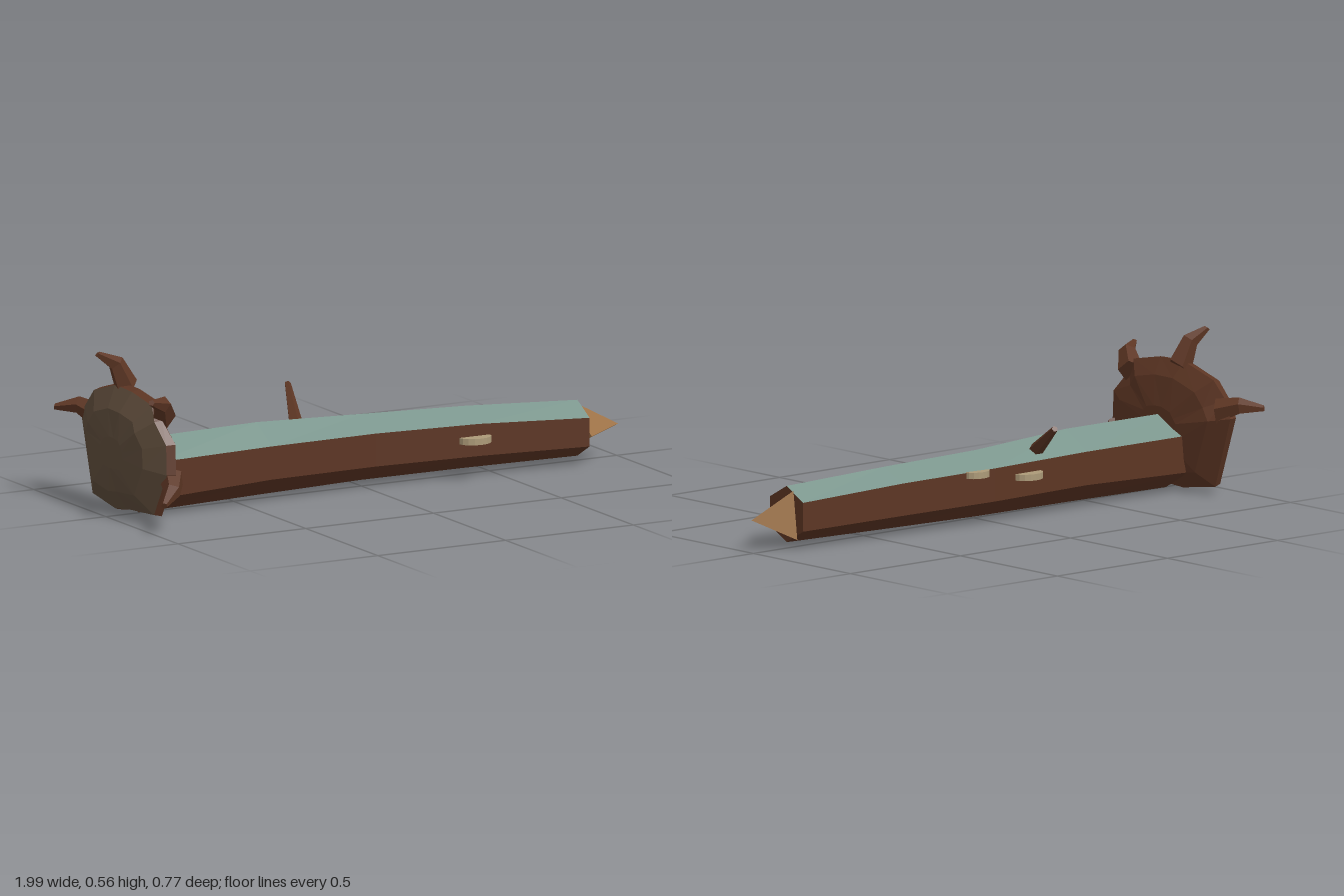
import * as THREE from 'three';

const V = (x, y, z) => new THREE.Vector3(x, y, z);
const mat = (name, color, flatShading = true) => {
  const m = new THREE.MeshStandardMaterial({ color, flatShading });
  m.name = name;
  return m;
};

// Skin over rings of points; sideMat(i) picks the material index of each strip.
function loft(rings, { start = true, end = true, sideMat = () => 0 } = {}) {
  const buckets = [[], []];
  const tri = (k, ...pts) => pts.forEach((p) => buckets[k].push(p.x, p.y, p.z));
  const n = rings[0].length;
  for (let r = 0; r < rings.length - 1; r++) {
    for (let i = 0; i < n; i++) {
      const j = (i + 1) % n, a = rings[r], b = rings[r + 1], k = sideMat(i);
      tri(k, a[i], a[j], b[i]);
      tri(k, a[j], b[j], b[i]);
    }
  }
  const centre = (ring) => ring.reduce((s, p) => s.add(p), V(0, 0, 0)).divideScalar(n);
  const first = rings[0], last = rings[rings.length - 1];
  const cf = centre(first), cl = centre(last);
  for (let i = 0; i < n; i++) {
    const j = (i + 1) % n;
    if (start) tri(0, cf, first[j], first[i]);
    if (end) tri(0, cl, last[i], last[j]);
  }
  const geo = new THREE.BufferGeometry();
  geo.setAttribute('position', new THREE.Float32BufferAttribute(buckets.flat(), 3));
  geo.addGroup(0, buckets[0].length / 3, 0);
  if (buckets[1].length) geo.addGroup(buckets[0].length / 3, buckets[1].length / 3, 1);
  geo.computeVertexNormals();
  return geo;
}

// Tapering bent spike through a few points
function spike(points, radii, sides) {
  const axis = points[points.length - 1].clone().sub(points[0]).normalize();
  const u = V(1, 0, 0).cross(axis).normalize();
  const v = axis.clone().cross(u);
  return loft(points.map((p, k) => Array.from({ length: sides }, (_, i) => {
    const t = (i / sides) * Math.PI * 2;
    return p.clone().addScaledVector(u, Math.cos(t) * radii[k]).addScaledVector(v, Math.sin(t) * radii[k]);
  })));
}

export function createModel() {
  const group = new THREE.Group();
  const bark = mat('bark brown', 0x5c3523);
  const moss = mat('moss green', 0x7a958c);
  const wood = mat('splintered wood', 0x9c7146);
  const soil = mat('soil', 0x5e4c3b);
  const fungus = mat('fungus tan', 0xac9a78);
  const add = (name, geo, material) => {
    const mesh = new THREE.Mesh(geo, material);
    mesh.name = name;
    group.add(mesh);
    return mesh;
  };

  // Bent hexagonal trunk, mossy on its two upper faces
  // x, ridge y, upper edge y, lower edge y, bottom y, centre z, half width
  const sections = [
    [-0.87, 0.26, 0.198, 0.07, 0.002, -0.005, 0.119],
    [-0.4, 0.264, 0.2, 0.084, 0.01, -0.02, 0.11],
    [0.02, 0.245, 0.195, 0.08, 0.015, -0.035, 0.1],
    [0.42, 0.234, 0.188, 0.076, 0.018, -0.018, 0.093],
    [0.84, 0.215, 0.168, 0.068, 0.02, 0.01, 0.085],
  ];
  const trunkRings = sections.map(([x, top, hi, lo, bottom, z, w]) => [
    V(x, top, z), V(x, hi, z + w), V(x, lo, z + w),
    V(x, bottom, z), V(x, lo, z - w), V(x, hi, z - w),
  ]);
  add('trunk', loft(trunkRings, { sideMat: (i) => (i === 0 || i === 5 ? 1 : 0) }), [bark, moss]);

  // Splintered three-sided point at the broken end
  const apex = V(1, 0.115, 0.01);
  add('brokenTip', loft([
    [V(0.84, 0.203, -0.025), V(0.84, 0.105, 0.11), V(0.84, 0.035, -0.045)],
    [apex, apex, apex],
  ], { end: false }), wood);

  // Root plate: lens built from one lumpy outline of [z, y]
  const outline = [
    [0.05, 0.445], [0.18, 0.42], [0.225, 0.37], [0.285, 0.295], [0.295, 0.19],
    [0.22, 0.035], [0, 0.014], [-0.06, 0.005], [-0.225, 0.03],
    [-0.322, 0.28], [-0.275, 0.335], [-0.225, 0.4], [-0.08, 0.446],
  ];
  const plateRing = (x, s, lump = 0) => outline.map(([z, y], i) =>
    V(x + lump * Math.sin(i * 2.3), 0.22 + (y - 0.22) * s, z * s));
  const rim = plateRing(-0.925, 0.97, 0.008);
  add('rootPlate', loft([
    rim, plateRing(-0.895, 1, 0.012), plateRing(-0.855, 0.75, 0.005), plateRing(-0.832, 0.3),
  ], { start: false }), bark);
  add('rootSoil', loft([
    plateRing(-0.978, 0.25), plateRing(-0.966, 0.65, 0.005), rim,
  ], { end: false }), soil);

  // Roots curling back from the plate: base, bend and tip as [z, y]
  [
    [[-0.058, 0.425], [-0.072, 0.515], [-0.086, 0.552]],
    [[0.19, 0.375], [0.25, 0.432], [0.29, 0.452]],
    [[0.25, 0.172], [0.32, 0.142], [0.378, 0.11]],
    [[-0.25, 0.295], [-0.33, 0.322], [-0.38, 0.313]],
  ].forEach((path, k) => {
    const xs = [-0.885, -0.92, -0.985];
    const points = path.map(([z, y], i) => V(xs[i], y, z));
    add(`root${k + 1}`, spike(points, [0.046, 0.03, 0.011], 5), bark);
  });

  // Bare branch stub
  add('branch', spike([V(-0.215, 0.215, -0.07), V(-0.145, 0.328, -0.255)], [0.027, 0.011], 5), bark);

  // Half-round shelf fungi: x, y, z of the flat side, radius, facing
  [
    [-0.13, 0.152, -0.133, 0.058, -1],
    [0.095, 0.184, -0.123, 0.05, -1],
    [0.375, 0.148, 0.122, 0.06, 1],
  ].forEach(([x, y, z, r, side], k) => {
    const shape = new THREE.Shape();
    for (let i = 0; i <= 8; i++) {
      const t = (i / 8) * Math.PI;
      shape[i ? 'lineTo' : 'moveTo'](Math.cos(t) * r, Math.sin(t) * r * 0.78);
    }
    const geo = new THREE.ExtrudeGeometry(shape, { depth: 0.022, bevelEnabled: false });
    geo.translate(0, 0, -0.011).rotateX((side * Math.PI) / 2);
    add(`shelfFungus${k + 1}`, geo, fungus).position.set(x, y, z);
  });

  return group;
}
